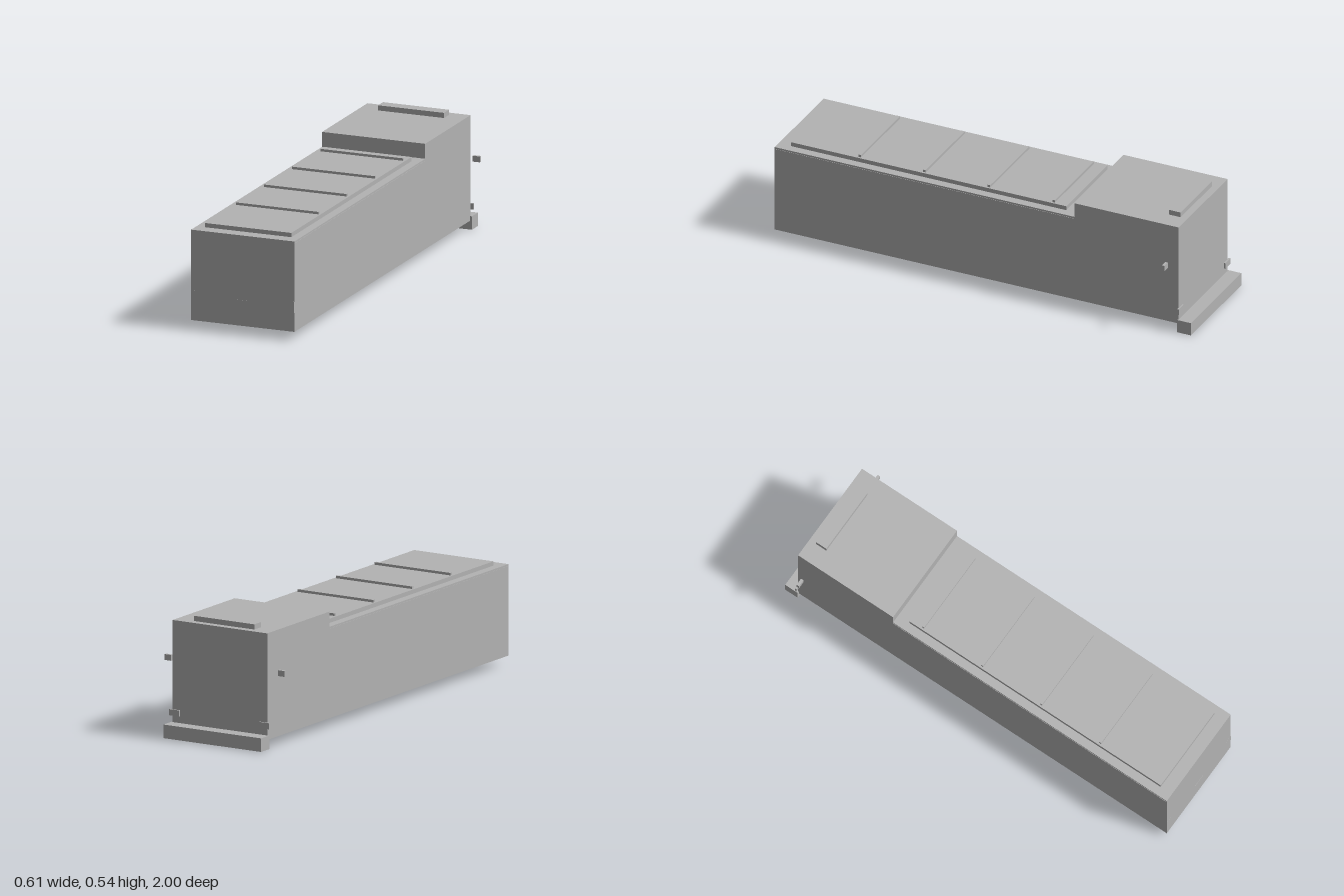
import * as THREE from 'three';

export function createModel() {
  const model = new THREE.Group();
  model.name = 'boxTruck';
  const grey = new THREE.MeshStandardMaterial({ color: 0xb3b3b3 });
  grey.name = 'grey';

  // Box given by its lower and upper limits on each axis
  function box(name, [x0, x1], [y0, y1], [z0, z1], parent = model) {
    const mesh = new THREE.Mesh(new THREE.BoxGeometry(x1 - x0, y1 - y0, z1 - z0), grey);
    mesh.position.set((x0 + x1) / 2, (y0 + y1) / 2, (z0 + z1) / 2);
    mesh.name = name;
    parent.add(mesh);
    return mesh;
  }

  // The same box on both sides of x = 0
  function pair(name, [x0, x1], y, z) {
    box(name + 'Left', [x0, x1], y, z);
    box(name + 'Right', [-x1, -x0], y, z);
  }

  // Long cargo body and the taller cab, joined as one stepped profile
  const half = 0.242;
  const profile = new THREE.Shape([
    [-0.999, 0.04], [0.938, 0.04], [0.938, 0.512], [0.439, 0.512], [0.439, 0.445], [-0.999, 0.445],
  ].map(([x, y]) => new THREE.Vector2(x, y)));
  const bodyGeometry = new THREE.ExtrudeGeometry(profile, { depth: half * 2, bevelEnabled: false });
  bodyGeometry.translate(0, 0, -half).rotateY(Math.PI / 2);
  const body = new THREE.Mesh(bodyGeometry, grey);
  body.name = 'body';
  model.add(body);

  // Raised cover with cross ribs
  box('cover', [-0.203, 0.203], [0.445, 0.464], [-0.38, 0.94]);
  const ribs = new THREE.Group();
  ribs.name = 'coverRibs';
  model.add(ribs);
  for (let i = 0; i < 4; i++) {
    const z = -0.315 + i * 0.31;
    box('rib', [-0.194, 0.194], [0.464, 0.475], [z - 0.006, z + 0.006], ribs);
  }

  // Thin side bands below the cargo roof line
  pair('sideBand', [half, half + 0.0015], [0.385, 0.437], [-0.439, 0.998]);

  // Roof light bar, floating mirrors, corner lamps and bumper at the cab end
  box('roofLightBar', [-0.155, 0.155], [0.512, 0.535], [-0.905, -0.85]);
  pair('mirror', [0.273, 0.307], [0.32, 0.346], [-0.901, -0.888]);
  pair('headlight', [0.205, 0.256], [0.09, 0.117], [-0.945, -0.936]);
  box('bumper', [-0.25, 0.25], [0, 0.06], [-1, -0.934]);

  // Thin lamps and plate on the cargo end
  pair('tailLight', [0.205, half], [0.125, 0.175], [0.998, 0.9995]);
  box('numberPlate', [-0.032, 0.032], [0.125, 0.155], [0.998, 1]);

  return model;
}
